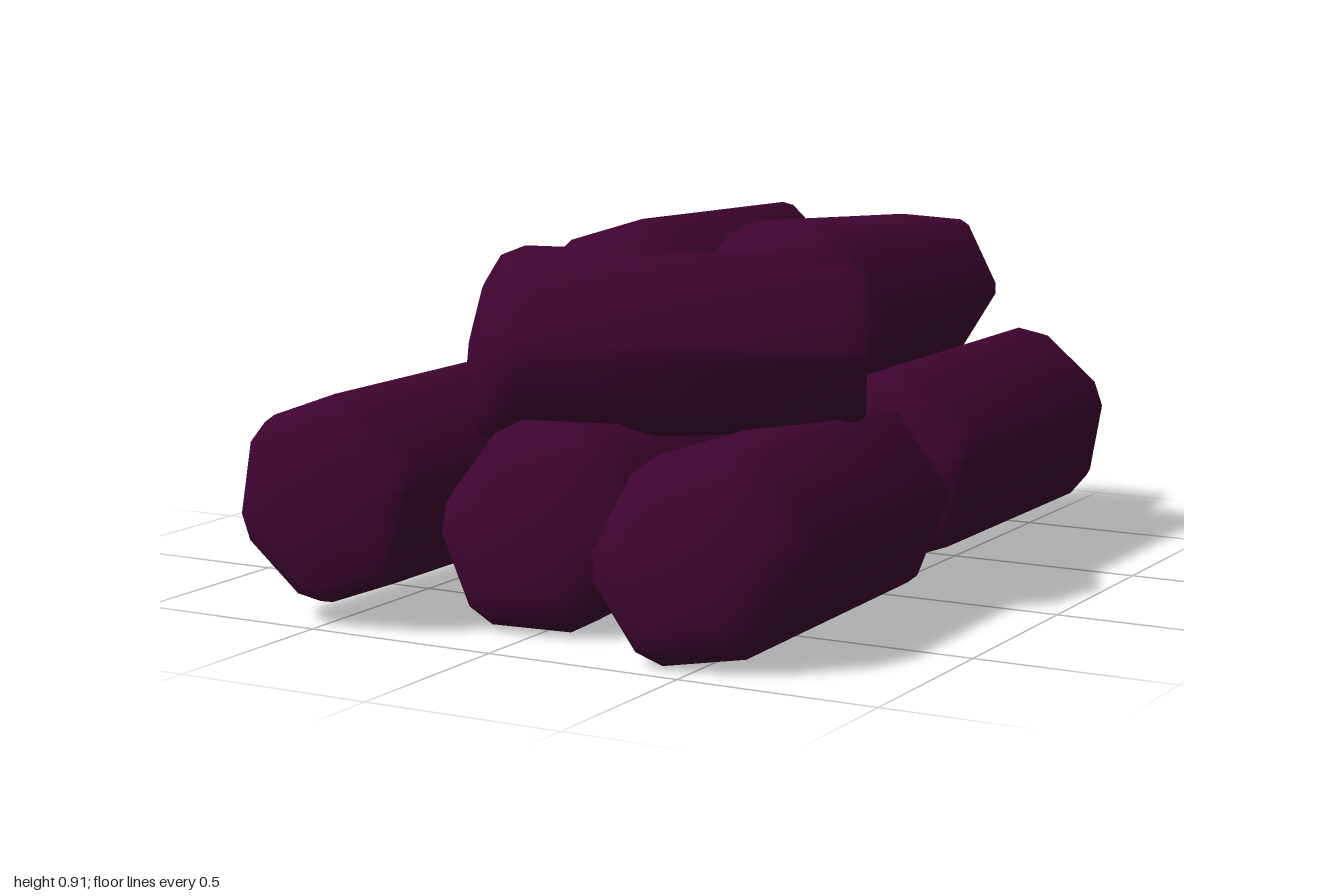
import * as THREE from 'three';
import { toCreasedNormals } from 'three/addons/utils/BufferGeometryUtils.js';

const material = new THREE.MeshStandardMaterial({ color: 0x3f0431, side: THREE.DoubleSide });
const SIDES = 12;

// Six-sided section whose corners are each split by a softening angle
function sectionAngles(turn, soft) {
  const angles = [];
  for (let i = 0; i < 6; i++) {
    for (const s of [-soft, soft]) angles.push(THREE.MathUtils.degToRad(turn + i * 60 + s));
  }
  return angles;
}

// Lofts a log along z. Each ring has a radius r, a depth z, a corner softness
// and a slant that pushes its upper right side further back.
// Cap depths close the ends.
function logGeometry(rings, turn, frontZ, backZ) {
  const positions = [];
  const index = [];
  for (const { r, z, slant = 0, soft = 8 } of rings) {
    for (const a of sectionAngles(turn, soft)) {
      positions.push(r * Math.cos(a), r * Math.sin(a), z - slant * Math.cos(a - Math.PI / 4));
    }
  }
  for (let k = 0; k < rings.length - 1; k++) {
    for (let i = 0; i < SIDES; i++) {
      const a = k * SIDES + i;
      const b = k * SIDES + ((i + 1) % SIDES);
      index.push(a, a + SIDES, b, b, a + SIDES, b + SIDES);
    }
  }
  const cap = (start, z, front) => {
    const centre = positions.length / 3;
    positions.push(0, 0, z);
    for (let i = 0; i < SIDES; i++) {
      const a = start + i;
      const b = start + ((i + 1) % SIDES);
      if (front) index.push(centre, a, b);
      else index.push(centre, b, a);
    }
  };
  cap(0, frontZ, true);
  if (backZ !== undefined) cap((rings.length - 1) * SIDES, backZ, false);
  const geometry = new THREE.BufferGeometry();
  geometry.setAttribute('position', new THREE.Float32BufferAttribute(positions, 3));
  geometry.setIndex(index);
  return toCreasedNormals(geometry, 0.9);
}

// Straight log, closed and lightly chamfered at both ends
function straightLog(length, r, turn) {
  const h = length / 2;
  return logGeometry([
    { r: r * 0.8, z: h - 0.01 },
    { r: r * 0.95, z: h - 0.03 },
    { r, z: h - 0.08 },
    { r, z: -h + 0.08 },
    { r: r * 0.95, z: -h + 0.03 },
    { r: r * 0.8, z: -h + 0.01 },
  ], turn, h, -h);
}

// Tapered log: slanted, domed front and a sharper back with an optional rim
// bevel, left open unless closed is set
function taperedLog(length, r, backR, turn, { rimR = backR, rimDepth = 0, closed = false } = {}) {
  const h = length / 2;
  const rings = [
    { r: r * 0.62, z: h - 0.035, slant: 0.04 },
    { r: r * 0.9, z: h - 0.065, slant: 0.06 },
    { r, z: h - 0.115, slant: 0.085 },
    { r: backR, z: -h + rimDepth, soft: 4 },
  ];
  if (rimDepth > 0) rings.push({ r: rimR, z: -h, soft: 4 });
  return logGeometry(rings, turn, h - 0.015, closed ? -h - 0.005 : undefined);
}

export function createModel() {
  const group = new THREE.Group();
  const add = (name, geometry, x, y, z, yaw = 0) => {
    const mesh = new THREE.Mesh(geometry, material);
    mesh.name = name;
    mesh.position.set(x, y, z);
    mesh.rotation.y = yaw;
    group.add(mesh);
  };

  // Front stack: three below, one lying diagonally on top
  add('frontRightLog', straightLog(0.98, 0.255, 20), -0.487, 0.31, 0.51);
  add('frontMiddleLog', taperedLog(0.81, 0.258, 0.215, -2), -0.01, 0.256, 0.435);
  add('frontLeftLog', taperedLog(0.99, 0.254, 0.245, 8, { rimR: 0.2, rimDepth: 0.07, closed: true }), 0.483, 0.257, 0.475);
  add('diagonalLog', taperedLog(0.98, 0.245, 0.222, 0, { rimR: 0.185, rimDepth: 0.05 }), 0.115, 0.66, 0.38, -1.09);

  // Back stack: three below, two on top
  add('backLeftLog', straightLog(0.97, 0.255, 20), 0.483, 0.307, -0.515);
  add('backMiddleLog', taperedLog(0.99, 0.257, 0.205, 3, { rimR: 0.18, rimDepth: 0.06 }), -0.01, 0.255, -0.48);
  add('backRightLog', taperedLog(0.99, 0.257, 0.193, -6), -0.487, 0.252, -0.48);
  add('upperLeftLog', taperedLog(1.01, 0.263, 0.203, -2), 0.195, 0.664, -0.47);
  add('upperRightLog', taperedLog(1.0, 0.257, 0.235, 18, { rimR: 0.195, rimDepth: 0.05 }), -0.27, 0.637, -0.475);
  return group;
}
